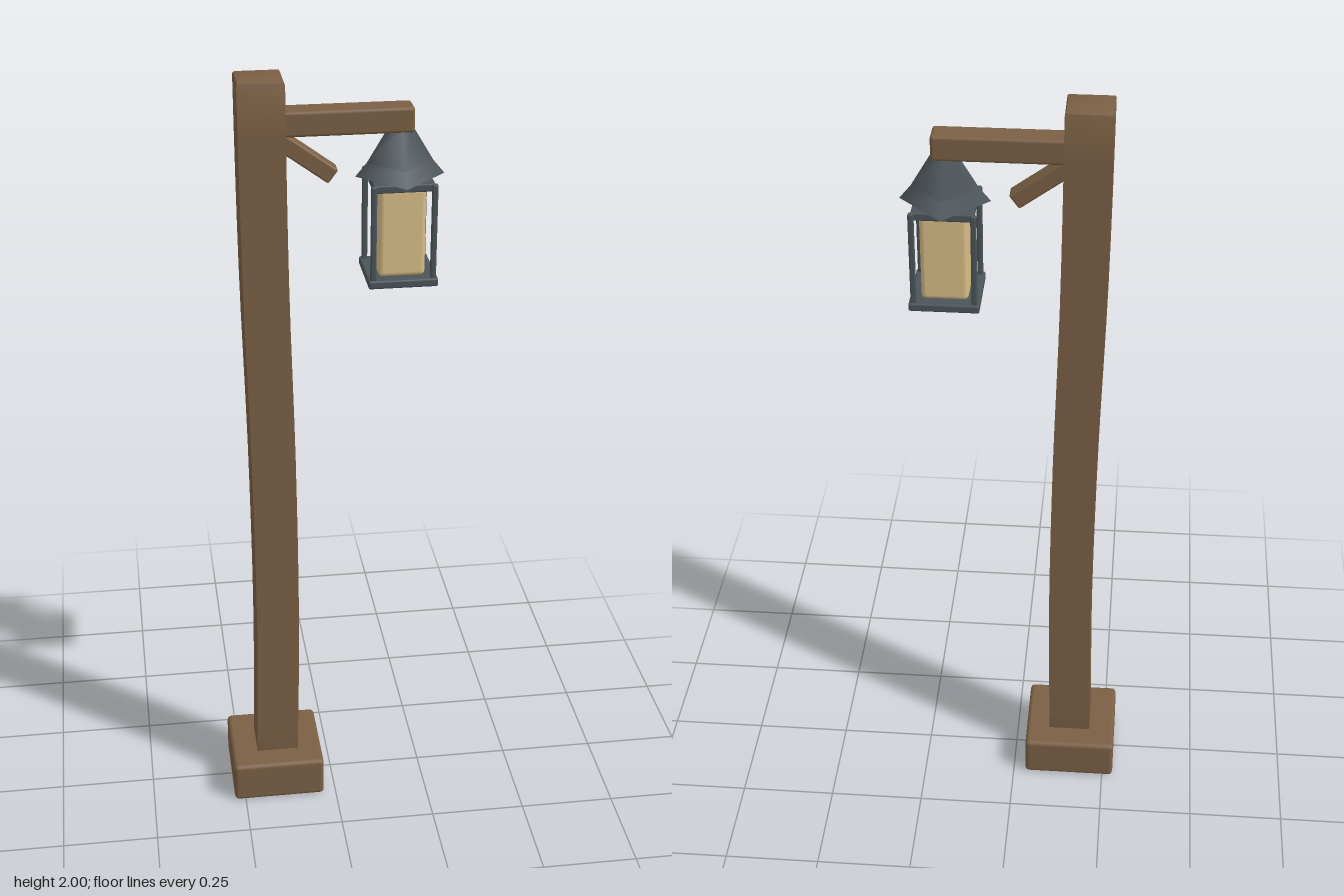
import * as THREE from 'three';
import { toCreasedNormals } from 'three/addons/utils/BufferGeometryUtils.js';
import { RoundedBoxGeometry } from 'three/addons/geometries/RoundedBoxGeometry.js';

const material = (name, color, side = THREE.FrontSide) =>
  Object.assign(new THREE.MeshStandardMaterial({ color, side }), { name });

export function createModel() {
  const wood = material('wood', 0x7a5f44);
  const metal = material('dark metal', 0x4b5459, THREE.DoubleSide);
  const glass = material('warm glass', 0xd8bd86);

  const add = (parent, name, geometry, mat, x = 0, y = 0, z = 0) => {
    const mesh = new THREE.Mesh(geometry, mat);
    mesh.name = name;
    mesh.position.set(x, y, z);
    parent.add(mesh);
    return mesh;
  };
  const block = (w, h, d, r) => new RoundedBoxGeometry(w, h, d, 2, r);

  const model = new THREE.Group();
  model.name = 'lampPost';

  // Square foot
  add(model, 'base', block(0.247, 0.113, 0.247, 0.012), wood, -0.156, 0.0565);

  // Post: a bevelled square column, gently bowed along its height
  const bow = new THREE.SplineCurve([
    [0, -0.155], [0.5, -0.147], [1, -0.151], [1.5, -0.163], [2, -0.167],
  ].map(([y, x]) => new THREE.Vector2(y, x)));
  const bevel = 0.008, half = 0.056 - bevel;
  const square = new THREE.Shape([
    [-half, -half], [half, -half], [half, half], [-half, half],
  ].map(([x, y]) => new THREE.Vector2(x, y)));
  const column = new THREE.ExtrudeGeometry(square, {
    depth: 1.95 - 2 * bevel, steps: 16, bevelEnabled: true,
    bevelSize: bevel, bevelThickness: bevel, bevelSegments: 2,
  });
  column.rotateX(-Math.PI / 2).translate(0, 0.05 + bevel, 0);
  const p = column.attributes.position;
  for (let i = 0; i < p.count; i++) {
    p.setX(i, p.getX(i) + bow.getPoint(p.getY(i) / 2).y);
  }
  add(model, 'post', toCreasedNormals(column, 0.7), wood);

  // Arm and its diagonal brace
  add(model, 'arm', block(0.327, 0.062, 0.064, 0.008), wood, 0.0335, 1.89);
  const brace = add(model, 'brace', block(0.19, 0.042, 0.042, 0.006), wood, -0.071, 1.811);
  brace.rotation.z = -0.63;

  // Lantern hanging under the arm's end
  const lantern = new THREE.Group();
  lantern.name = 'lantern';
  lantern.position.x = 0.168;
  model.add(lantern);

  add(lantern, 'lanternFloor', block(0.17, 0.021, 0.17, 0.005), metal, 0, 1.4995);
  add(lantern, 'lanternTopPlate', block(0.148, 0.02, 0.148, 0.004), metal, 0, 1.737);
  add(lantern, 'glass', block(0.114, 0.224, 0.114, 0.012), glass, 0, 1.619);
  for (const x of [-1, 1]) {
    for (const z of [-1, 1]) {
      add(lantern, 'cornerBar', block(0.014, 0.24, 0.014, 0.004), metal, x * 0.073, 1.626, z * 0.073);
    }
  }

  // Four-sided roof set diagonally: flared eave below a steeper cap
  add(lantern, 'roofEave', new THREE.CylinderGeometry(0.08, 0.108, 0.034, 4, 1, true), metal, 0, 1.764);
  add(lantern, 'roofCap', new THREE.CylinderGeometry(0.03, 0.08, 0.084, 4), metal, 0, 1.823);

  return model;
}
